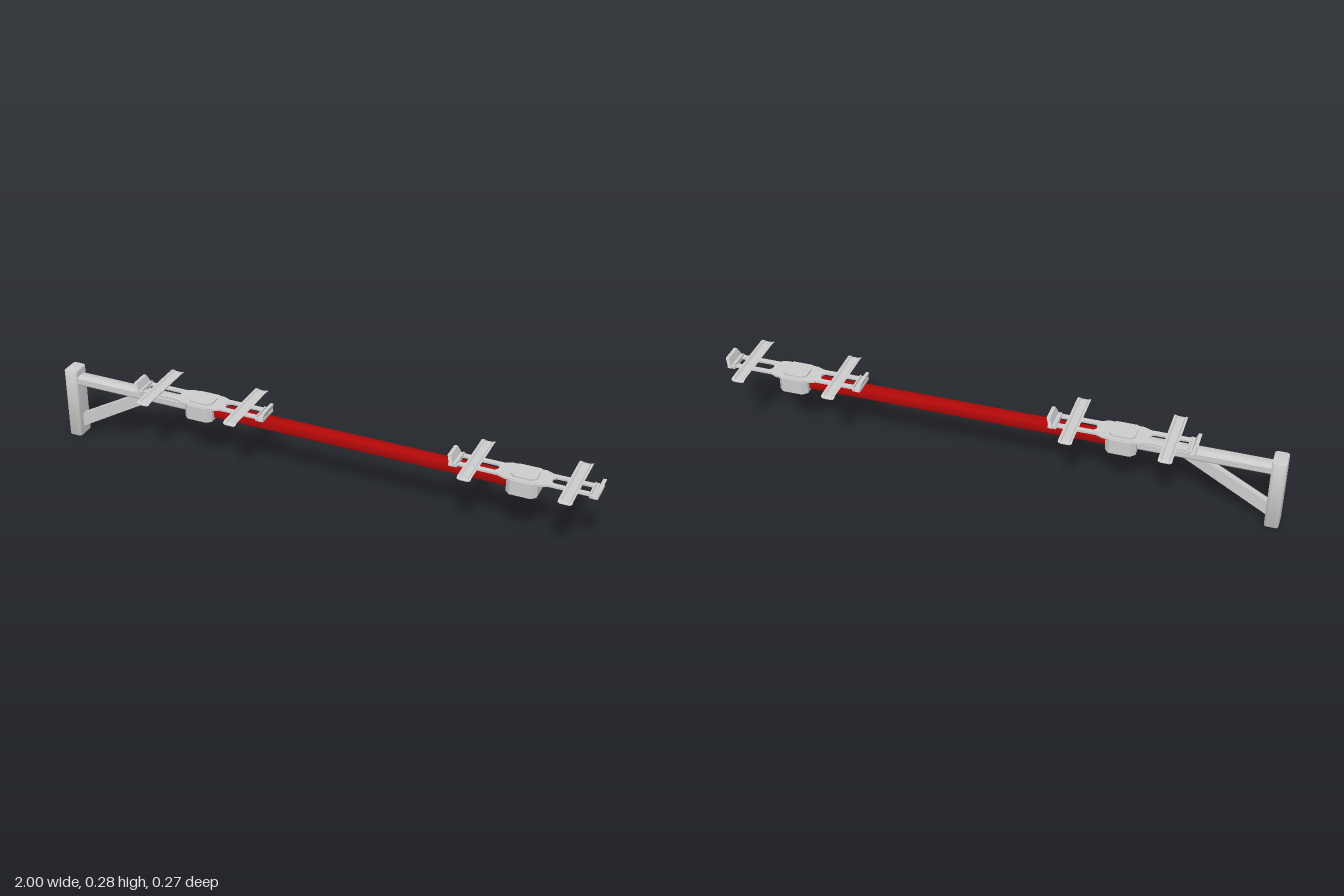
import * as THREE from 'three';
import { toCreasedNormals } from 'three/addons/utils/BufferGeometryUtils.js';

const grey = new THREE.MeshStandardMaterial({ color: 0xcccccc });
const red = new THREE.MeshStandardMaterial({ color: 0xb00808 });

function part(parent, name, geometry, material = grey) {
  const mesh = new THREE.Mesh(geometry, material);
  mesh.name = name;
  parent.add(mesh);
  return mesh;
}

const polygon = (points) => new THREE.Shape(points.map(([x, y]) => new THREE.Vector2(x, y)));

// Rounded rectangle centred on the origin
function roundedRect(w, h, r, Type = THREE.Shape) {
  const s = new Type(), x = w / 2, y = h / 2;
  s.moveTo(-x + r, -y).lineTo(x - r, -y);
  s.absarc(x - r, -y + r, r, -Math.PI / 2, 0);
  s.absarc(x - r, y - r, r, 0, Math.PI / 2);
  s.absarc(-x + r, y - r, r, Math.PI / 2, Math.PI);
  s.absarc(-x + r, -y + r, r, Math.PI, Math.PI * 1.5);
  return s;
}

function extrude(shape, depth, steps = 1) {
  return new THREE.ExtrudeGeometry(shape, { depth, steps, bevelEnabled: false, curveSegments: 6 });
}

// Cross-section (z, y) swept along x from x0 to x1
function alongX(shape, x0, x1) {
  const g = extrude(shape, x1 - x0).rotateY(Math.PI / 2).translate(x0, 0, 0);
  return toCreasedNormals(g, 0.6);
}

// Plan outline (x, z) raised from y0 to y1
function alongY(shape, y0, y1) {
  const g = extrude(shape, y1 - y0).rotateX(-Math.PI / 2).translate(0, y0, 0);
  return toCreasedNormals(g, 0.6);
}

// Rectangle in plan with its four corners cut off
function chamfered(hx, hz, c) {
  return polygon([[-hx, -hz + c], [-hx + c, -hz], [hx - c, -hz], [hx, -hz + c],
    [hx, hz - c], [hx - c, hz], [-hx + c, hz], [-hx, hz - c]]);
}

// Shallow tray with flared lips and tapered ends, running along z
function crossbarGeometry() {
  const section = polygon([[-0.024, 0.273], [-0.016, 0.262], [0.016, 0.262], [0.024, 0.273],
    [0.017, 0.273], [0.012, 0.267], [-0.012, 0.267], [-0.017, 0.273]]);
  const g = extrude(section, 0.266, 24).translate(0, 0, -0.133);
  const p = g.attributes.position;
  for (let i = 0; i < p.count; i++) {
    if (Math.abs(p.getZ(i)) > 0.132) p.setY(i, 0.262 + (p.getY(i) - 0.262) * 0.5);
  }
  g.computeVertexNormals();
  return g;
}

// Trapezoid end stop that leans outward as it rises
function endStopGeometry() {
  const shape = polygon([[-0.047, 0.25], [0.047, 0.25], [0.034, 0.283], [-0.034, 0.283]]);
  const g = alongX(shape, 0.236, 0.248);
  const p = g.attributes.position;
  for (let i = 0; i < p.count; i++) p.setX(i, p.getX(i) + (p.getY(i) - 0.25) * 0.35);
  g.computeVertexNormals();
  return g;
}

// Slotted rail plate on a clamp, with two crossbars and two end stops
function createCarrier(x) {
  const carrier = new THREE.Group();
  carrier.name = 'carrier';
  carrier.position.x = x;
  part(carrier, 'clampBlock', alongY(chamfered(0.053, 0.055, 0.016), 0.2, 0.255));

  const plate = polygon([[-0.245, -0.037], [-0.085, -0.037], [-0.06, -0.048], [0.06, -0.048], [0.085, -0.037], [0.245, -0.037],
    [0.245, 0.037], [0.085, 0.037], [0.06, 0.048], [-0.06, 0.048], [-0.085, 0.037], [-0.245, 0.037]]);
  for (const side of [-1, 1]) {
    const slot = roundedRect(0.142, 0.036, 0.015, THREE.Path);
    plate.holes.push(new THREE.Path(slot.getPoints(6).map((v) => v.add(new THREE.Vector2(side * 0.162, 0)))));
  }
  part(carrier, 'railPlate', alongY(plate, 0.25, 0.257));
  part(carrier, 'clampCap', alongY(chamfered(0.045, 0.036, 0.014), 0.255, 0.263));

  for (const side of [-1, 1]) {
    const bar = part(carrier, 'crossbar', crossbarGeometry());
    bar.position.x = side * 0.169;
    const foot = part(carrier, 'crossbarFoot', new THREE.BoxGeometry(0.024, 0.007, 0.07));
    foot.position.set(side * 0.169, 0.2595, 0);

    const stop = new THREE.Group();
    stop.name = 'endStop';
    stop.rotation.y = side < 0 ? Math.PI : 0;
    part(stop, 'stopWall', endStopGeometry());
    part(stop, 'stopBase', new THREE.BoxGeometry(0.03, 0.01, 0.084)).position.set(0.238, 0.252, 0);
    part(stop, 'stopLip', new THREE.BoxGeometry(0.006, 0.012, 0.07)).position.set(0.226, 0.258, 0);
    carrier.add(stop);
  }
  return carrier;
}

export function createModel() {
  const model = new THREE.Group();
  model.name = 'wallArmWithCarriers';

  // Upright post with softened edges
  const post = new THREE.ExtrudeGeometry(roundedRect(0.044, 0.068, 0.008), {
    depth: 0.262, bevelThickness: 0.004, bevelSize: 0.003, bevelSegments: 3, curveSegments: 5,
  });
  post.rotateX(-Math.PI / 2).translate(-0.975, 0.004, 0);
  part(model, 'post', toCreasedNormals(post, 0.7));

  // Beam from the post, slimmer where the sleeve covers it
  const beam = alongX(roundedRect(0.05, 0.036, 0.011), -0.955, -0.45);
  part(model, 'beam', beam).position.y = 0.227;
  const core = alongX(roundedRect(0.036, 0.03, 0.006), -0.46, 0.72);
  part(model, 'beamCore', core).position.y = 0.226;

  // Diagonal brace
  const brace = extrude(polygon([[-0.955, 0.03], [-0.645, 0.212], [-0.725, 0.212], [-0.955, 0.083]]), 0.024);
  part(model, 'brace', brace.translate(0, 0, -0.012));

  // Coloured sleeve over the beam, open underneath
  const sleeve = polygon([[-0.018, 0.208], [-0.018, 0.238], [0.018, 0.238], [0.018, 0.208],
    [0.022, 0.208], [0.025, 0.214], [0.025, 0.235], [0.022, 0.242], [0.014, 0.246],
    [-0.014, 0.246], [-0.022, 0.242], [-0.025, 0.235], [-0.025, 0.214], [-0.022, 0.208]]);
  part(model, 'sleeve', alongX(sleeve, -0.42, 0.71), red);

  for (const x of [-0.447, 0.738]) model.add(createCarrier(x));
  return model;
}
